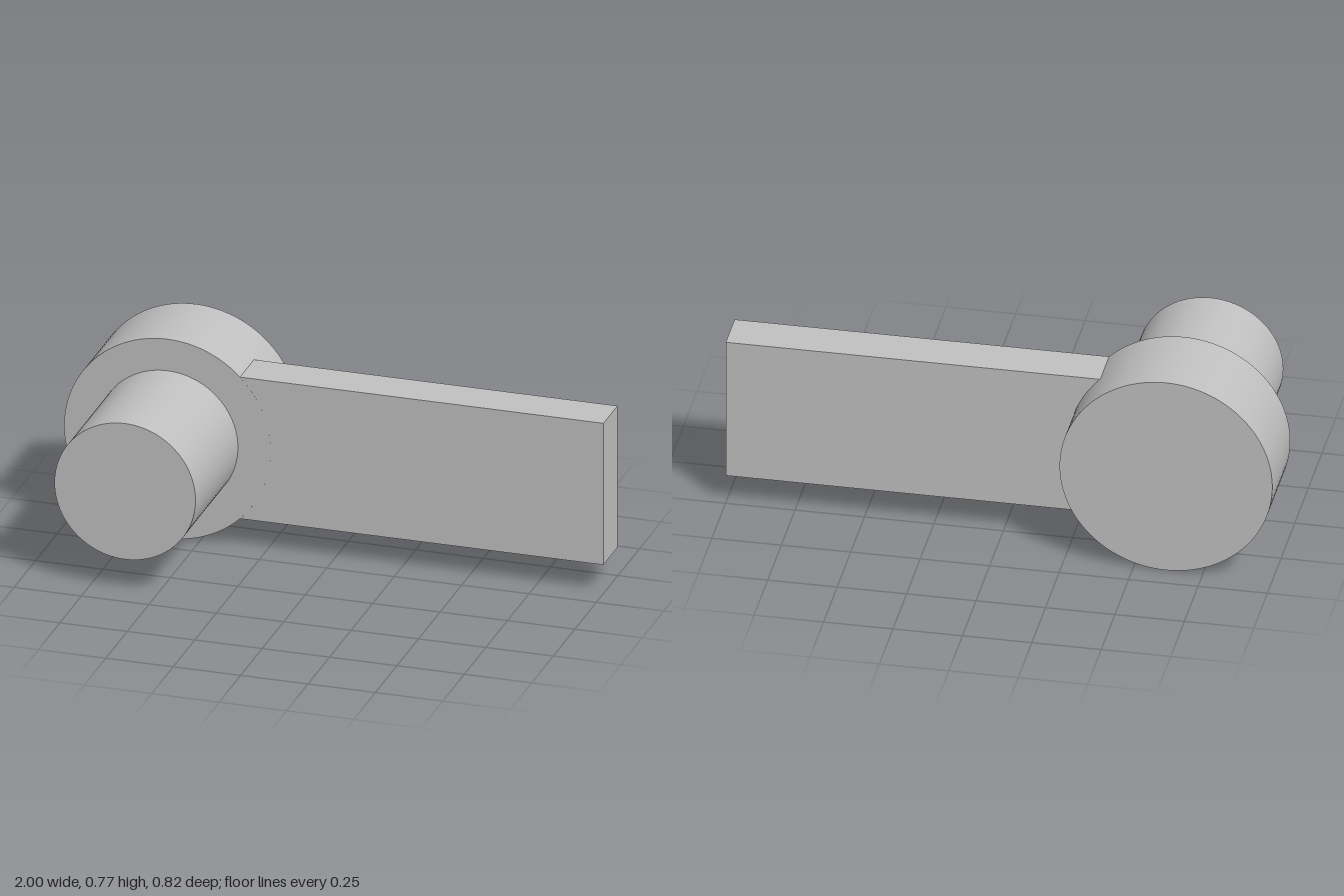
import * as THREE from 'three';

const HUB = { x: -0.617, y: 0.383, r: 0.383 };
const FRONT = -0.082; // shared front plane of hub and arm

export function createModel() {
  const group = new THREE.Group();
  const grey = new THREE.MeshStandardMaterial({ color: 0xc0c0c0 });
  grey.name = 'plain grey';

  const add = (name, geometry) => {
    const mesh = new THREE.Mesh(geometry, grey);
    mesh.name = name;
    group.add(mesh);
    return mesh;
  };

  // Round parts share one axis running front to back
  const addRound = (name, radius, zBack, zFront) => {
    const geometry = new THREE.CylinderGeometry(radius, radius, zFront - zBack, 96);
    geometry.rotateX(Math.PI / 2);
    add(name, geometry).position.set(HUB.x, HUB.y, (zBack + zFront) / 2);
  };
  addRound('hub', HUB.r, -0.41, FRONT);
  addRound('pin', 0.2615, FRONT, 0.41);

  // Flat arm, its inner end curved to meet the hub
  const half = 0.2725;
  const angle = Math.asin(half / HUB.r);
  const outline = new THREE.Shape();
  outline.moveTo(1 - HUB.x, -half);
  outline.lineTo(1 - HUB.x, half);
  outline.lineTo(HUB.r * Math.cos(angle), half);
  outline.absarc(0, 0, HUB.r, angle, -angle, true);
  outline.closePath();
  const depth = 0.163;
  const arm = new THREE.ExtrudeGeometry(outline, { depth, bevelEnabled: false, curveSegments: 24 });
  add('arm', arm).position.set(HUB.x, HUB.y, FRONT - depth);

  return group;
}
